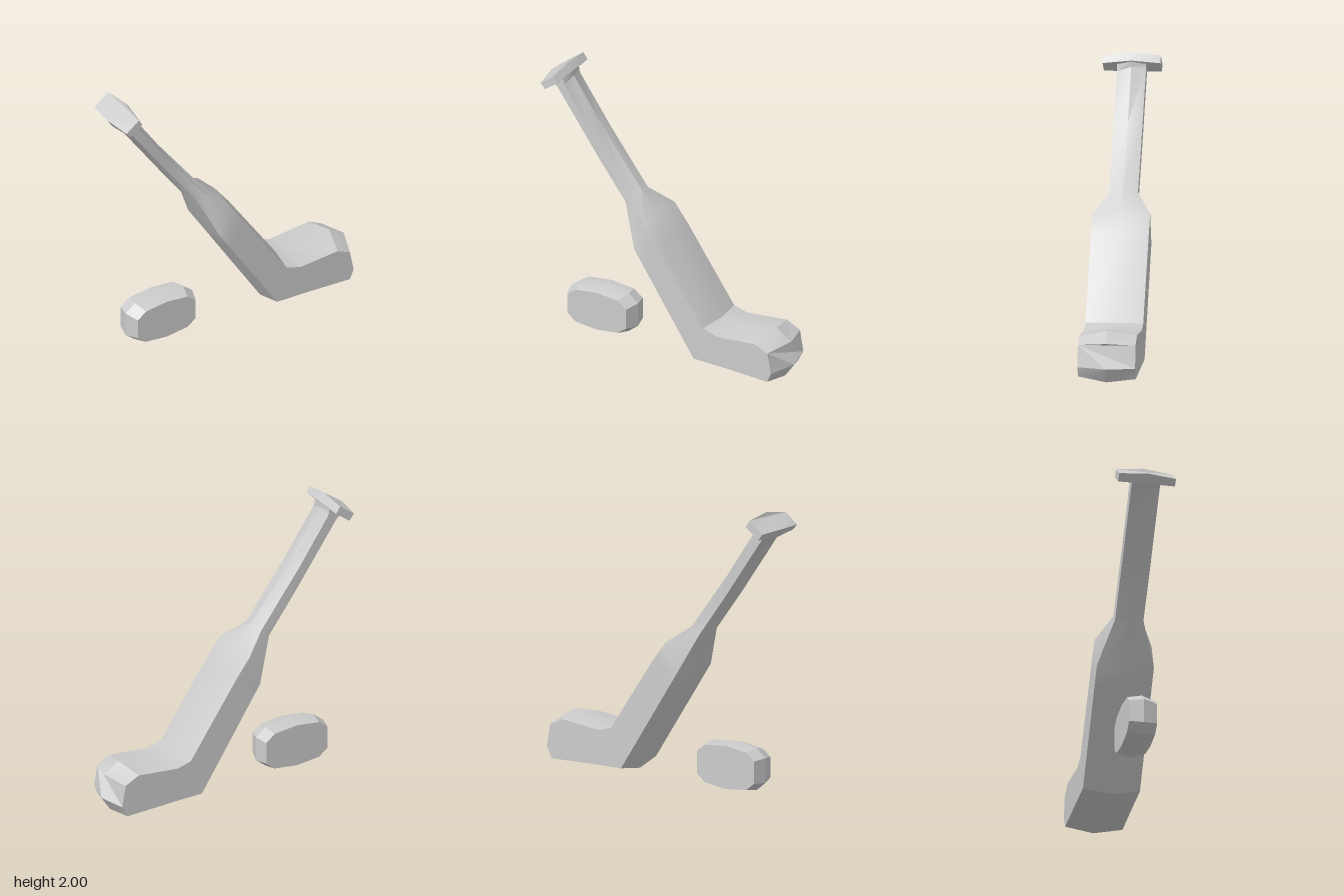
import * as THREE from 'three';
import { toCreasedNormals } from 'three/addons/utils/BufferGeometryUtils.js';

// Skins a series of convex rings and closes both ends
function loft(rings) {
  const pos = [];
  const tri = (a, b, c) => {
    if (new THREE.Triangle(a, b, c).getArea() > 1e-7) {
      for (const p of [a, b, c]) pos.push(p.x, p.y, p.z);
    }
  };
  const n = rings[0].length;
  for (let k = 0; k < rings.length - 1; k++) {
    const a = rings[k], b = rings[k + 1];
    for (let i = 0; i < n; i++) {
      const j = (i + 1) % n;
      tri(a[i], a[j], b[j]);
      tri(a[i], b[j], b[i]);
    }
  }
  const first = rings[0], last = rings[rings.length - 1];
  for (let i = 1; i < n - 1; i++) {
    tri(first[0], first[i + 1], first[i]);
    tri(last[0], last[i], last[i + 1]);
  }
  const g = new THREE.BufferGeometry();
  g.setAttribute('position', new THREE.Float32BufferAttribute(pos, 3));
  return toCreasedNormals(g, 0.5);
}

// Six-sided section: ridged lower (l) and upper (r) edges, flat front and back.
// Each edge has a ridge point at z = 0 and an inset point on the faces.
function section([lx, ly, lix, liy, rx, ry, rix, riy, d]) {
  const V = (x, y, z) => new THREE.Vector3(x, y, z);
  const mix = THREE.MathUtils.lerp, t = 0.3; // back face is inset a little less
  return [
    V(rix, riy, d),
    V(lix, liy, d),
    V(lx, ly, 0),
    V(mix(lix, lx, t), mix(liy, ly, t), -d),
    V(mix(rix, rx, t), mix(riy, ry, t), -d),
    V(rx, ry, 0),
  ];
}

export function createModel() {
  const group = new THREE.Group();
  const material = new THREE.MeshStandardMaterial({ color: 0xcccccc });
  const add = (name, rings) => {
    const mesh = new THREE.Mesh(loft(rings), material);
    mesh.name = name;
    group.add(mesh);
  };

  // Wide knob at the top of the handle
  add('knob', [
    [-0.97, 1.90, -0.94, 1.89, -0.83, 2.00, -0.84, 1.965, 0.2],
    [-0.93, 1.84, -0.905, 1.85, -0.79, 1.945, -0.81, 1.92, 0.2],
  ].map(section));

  // Shaft, widening into the paddle, then bending into the blade
  add('stick', [
    [-0.925, 1.845, -0.895, 1.86, -0.795, 1.942, -0.82, 1.915, 0.1],
    [-0.885, 1.82, -0.865, 1.835, -0.795, 1.90, -0.81, 1.865, 0.1],
    [-0.55, 1.35, -0.54, 1.38, -0.56, 1.56, -0.575, 1.53, 0.1],
    [-0.335, 1.055, -0.32, 1.09, -0.25, 1.155, -0.265, 1.12, 0.1],
    [-0.19, 0.745, -0.19, 0.80, -0.10, 1.04, -0.11, 1.00, 0.2],
    [-0.10, 0.606, -0.095, 0.656, 0.01, 0.90, 0.00, 0.855, 0.2],
    [0.27, 0.035, 0.285, 0.08, 0.395, 0.345, 0.36, 0.335, 0.2],
    [0.48, 0.032, 0.48, 0.077, 0.48, 0.33, 0.475, 0.30, 0.2],
    [0.90, 0.027, 0.875, 0.06, 0.83, 0.375, 0.775, 0.325, 0.2],
    [0.97, 0.13, 0.905, 0.13, 0.95, 0.305, 0.875, 0.28, 0.2],
  ].map(section));

  // Puck standing on edge, fullest at its middle
  const half = [[0, 0.17], [0.195, 0.15], [0.27, 0.09], [0.27, -0.085], [0.195, -0.145]];
  const outline = [...half, ...half.map(([x, y]) => [-x, -y])];
  const puckRing = (sx, sy, z) =>
    outline.map(([x, y]) => new THREE.Vector3(-0.55 + x * sx, 0.175 + y * sy, z));
  add('puck', [
    puckRing(0.87, 0.84, 0.1),
    puckRing(1, 1, 0),
    puckRing(0.92, 0.9, -0.1),
  ]);

  return group;
}
